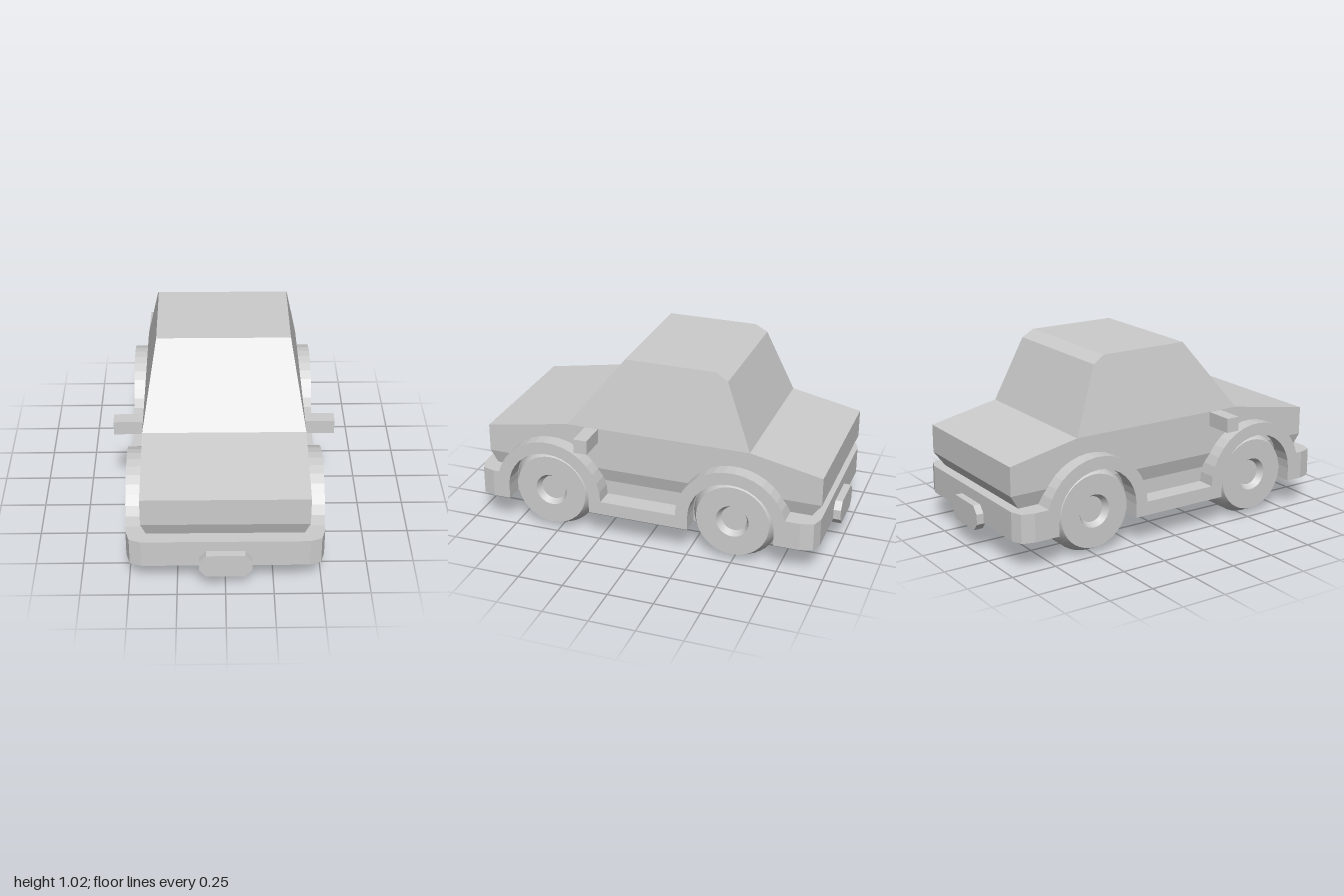
import * as THREE from 'three';
import { toCreasedNormals } from 'three/addons/utils/BufferGeometryUtils.js';

const paint = new THREE.MeshStandardMaterial({ color: 0xcccccc });
paint.name = 'plain grey';

const AXLES = [0.54, -0.495];
const HUB_Y = 0.235;

export function createModel() {
  const car = new THREE.Group();
  car.name = 'car';

  const add = (name, geometry, x = 0, y = 0, z = 0) => {
    const mesh = new THREE.Mesh(geometry, paint);
    mesh.name = name;
    mesh.position.set(x, y, z);
    car.add(mesh);
    return mesh;
  };

  const outline = (points) => new THREE.Shape(points.map(([a, b]) => new THREE.Vector2(a, b)));

  // Extrude a side profile of [z, y] points across x, from x0 to x1
  const sideExtrude = (profile, x0, x1) =>
    new THREE.ExtrudeGeometry(outline(profile.map(([z, y]) => [-z, y])), { depth: x1 - x0, bevelEnabled: false })
      .rotateY(Math.PI / 2)
      .translate(x0, 0, 0);

  // Full-width body section whose half width runs linearly from [y0, w0] to [y1, w1]
  const bodySection = (name, profile, [y0, w0], [y1, w1]) => {
    const geometry = sideExtrude(profile, -1, 1);
    const p = geometry.attributes.position;
    for (let i = 0; i < p.count; i++) {
      const t = (p.getY(i) - y0) / (y1 - y0);
      p.setX(i, p.getX(i) * (w0 + (w1 - w0) * t));
    }
    geometry.computeVertexNormals();
    add(name, geometry);
  };

  // Body shell
  bodySection('cabin',
    [[0.45, 0.63], [0.14, 1.02], [-0.36, 1.02], [-0.425, 0.98], [-0.57, 0.63]],
    [0.63, 0.43], [1.02, 0.355]);
  bodySection('bodyShell',
    [[0.92, 0.395], [0.92, 0.55], [0.45, 0.63], [-0.57, 0.63], [-0.96, 0.55], [-0.96, 0.395]],
    [0.395, 0.43], [0.63, 0.43]);
  bodySection('lowerBody',
    [[0.92, 0.395], [0.89, 0.315], [0.86, 0.235], [-0.85, 0.235], [-0.905, 0.315], [-0.96, 0.395]],
    [0.235, 0.38], [0.395, 0.43]);

  // Floor between the wheel wells
  add('floor', new THREE.BoxGeometry(0.81, 0.155, 1.72), 0, 0.2375, -0.01);

  // Fenders: sill and two wheel arches in one profile
  const arc = (z, radius, from, to, steps = 16) =>
    Array.from({ length: steps + 1 }, (_, i) => {
      const a = from + (to - from) * i / steps;
      return [z + radius * Math.cos(a), HUB_Y + radius * Math.sin(a)];
    });
  const lift = Math.asin(0.08 / 0.305);
  const [front, rear] = AXLES;
  const fender = [
    [0.85, 0.16], [0.85, 0.315],
    ...arc(front, 0.305, lift, Math.PI),
    ...arc(rear, 0.305, 0, Math.PI - lift),
    [-0.87, 0.315], [-0.87, 0.16],
    [rear - 0.236, 0.16], ...arc(rear, 0.236, Math.PI, 0), [rear + 0.236, 0.16],
    [front - 0.236, 0.16], ...arc(front, 0.236, Math.PI, 0), [front + 0.236, 0.16],
  ];
  add('leftFender', sideExtrude(fender, 0.38, 0.51));
  add('rightFender', sideExtrude(fender, -0.51, -0.38));

  // Bumpers with chamfered corners, and octagonal plates
  const bumperHalf = [[0.51, 0.85], [0.51, 0.87], [0.49, 0.938], [0.43, 0.96]];
  const bumperPoints = [...bumperHalf, ...bumperHalf.map(([x, z]) => [-x, z]).reverse()];
  const platePoints = [
    [0.1, 0.12], [0.135, 0.16], [0.135, 0.215], [0.1, 0.255],
    [-0.1, 0.255], [-0.135, 0.215], [-0.135, 0.16], [-0.1, 0.12],
  ];
  for (const [label, s] of [['front', 1], ['rear', -1]]) {
    const bumper = new THREE.ExtrudeGeometry(
      outline(bumperPoints.map(([x, z]) => [x, -s * z])), { depth: 0.155, bevelEnabled: false });
    add(label + 'Bumper', bumper.rotateX(-Math.PI / 2), 0, 0.16, 0);
    const plate = new THREE.ExtrudeGeometry(outline(platePoints), { depth: 0.05, bevelEnabled: false });
    add(label + 'Plate', plate, 0, 0, s > 0 ? 0.95 : -1);
  }

  // Wheels: chamfered tyre with a recessed hub
  const wheelProfile = [
    [0, 0.195], [0.2, 0.195], [0.235, 0.27], [0.235, 0.4],
    [0.2, 0.47], [0.09, 0.47], [0.07, 0.435], [0, 0.435],
  ].map(([r, h]) => new THREE.Vector2(r, h));
  const wheel = toCreasedNormals(new THREE.LatheGeometry(wheelProfile, 40), 0.6);

  for (const [side, s] of [['left', 1], ['right', -1]]) {
    AXLES.forEach((z, i) => {
      add(side + (i ? 'Rear' : 'Front') + 'Wheel', wheel, 0, HUB_Y, z).rotation.z = -s * Math.PI / 2;
    });
    // Side mirror
    add(side + 'Mirror', new THREE.BoxGeometry(0.175, 0.078, 0.075), s * 0.4985, 0.59, 0.31);
  }

  return car;
}
